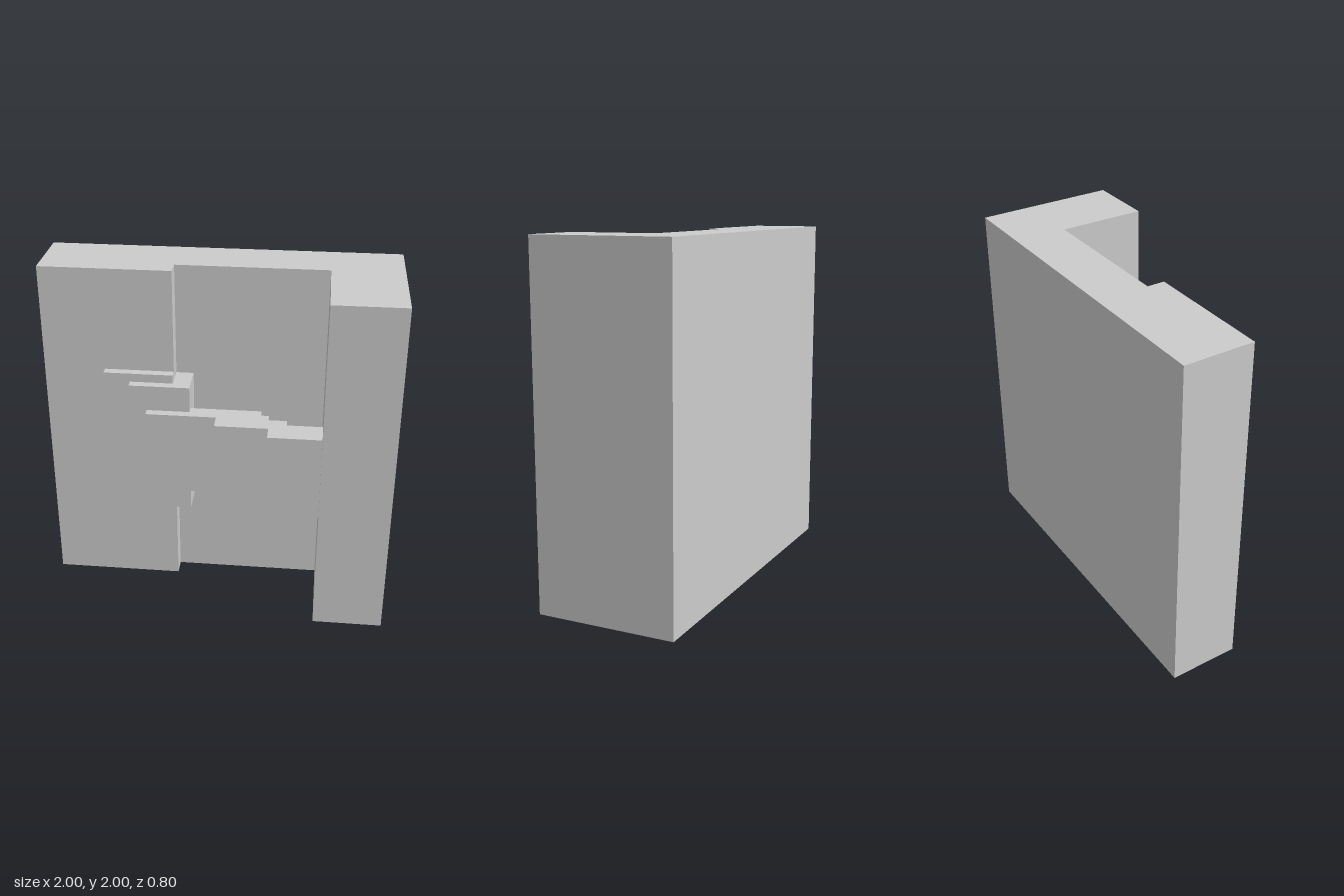
import * as THREE from 'three';

const material = new THREE.MeshStandardMaterial({ color: 0xcccccc, flatShading: true });

// Extrude a plan outline of [x, z] corners upward from y0 to y1
function prism(name, y0, y1, plan) {
  const shape = new THREE.Shape(plan.map(([x, z]) => new THREE.Vector2(x, -z)));
  const geometry = new THREE.ExtrudeGeometry(shape, { depth: y1 - y0, bevelEnabled: false });
  geometry.rotateX(-Math.PI / 2);
  geometry.translate(0, y0, 0);
  const mesh = new THREE.Mesh(geometry, material);
  mesh.name = name;
  return mesh;
}

export function createModel() {
  const group = new THREE.Group();
  group.name = 'steppedWallBlock';

  const ledge = -0.255; // x where the thick panel steps back

  // Wall with a thick panel, a recess and a projecting pillar
  group.add(prism('wall', 0, 2, [
    [-1, -0.4], [1, -0.4], [1, 0.4], [0.6, 0.4],
    [0.6, -0.1], [ledge, -0.1], [ledge, 0], [-1, 0],
  ]));

  // Thin plate on the panel face
  group.add(prism('backPlate', 0.555, 1.4, [
    [-0.65, 0], [ledge, 0], [ledge, 0.05], [-0.65, 0.05],
  ]));

  // Plate that wraps round the panel edge into the recess
  group.add(prism('hookPlate', 0.555, 1.35, [
    [-0.5, 0.05], [ledge, 0.05], [ledge, -0.1],
    [-0.155, -0.1], [-0.155, 0.1], [-0.5, 0.1],
  ]));

  // Stepped bar bridging the recess to the pillar
  group.add(prism('steppedBar', 0.705, 1.2, [
    [-0.4, 0.1], [-0.155, 0.1], [-0.155, 0.05], [0.25, 0.05],
    [0.25, 0.1], [0.295, 0.1], [0.295, 0.15], [0.4, 0.15],
    [0.4, 0.2], [0.6, 0.2], [0.6, 0.35], [0.3, 0.35],
    [0.3, 0.25], [0, 0.25], [0, 0.15], [-0.4, 0.15],
  ]));

  return group;
}
